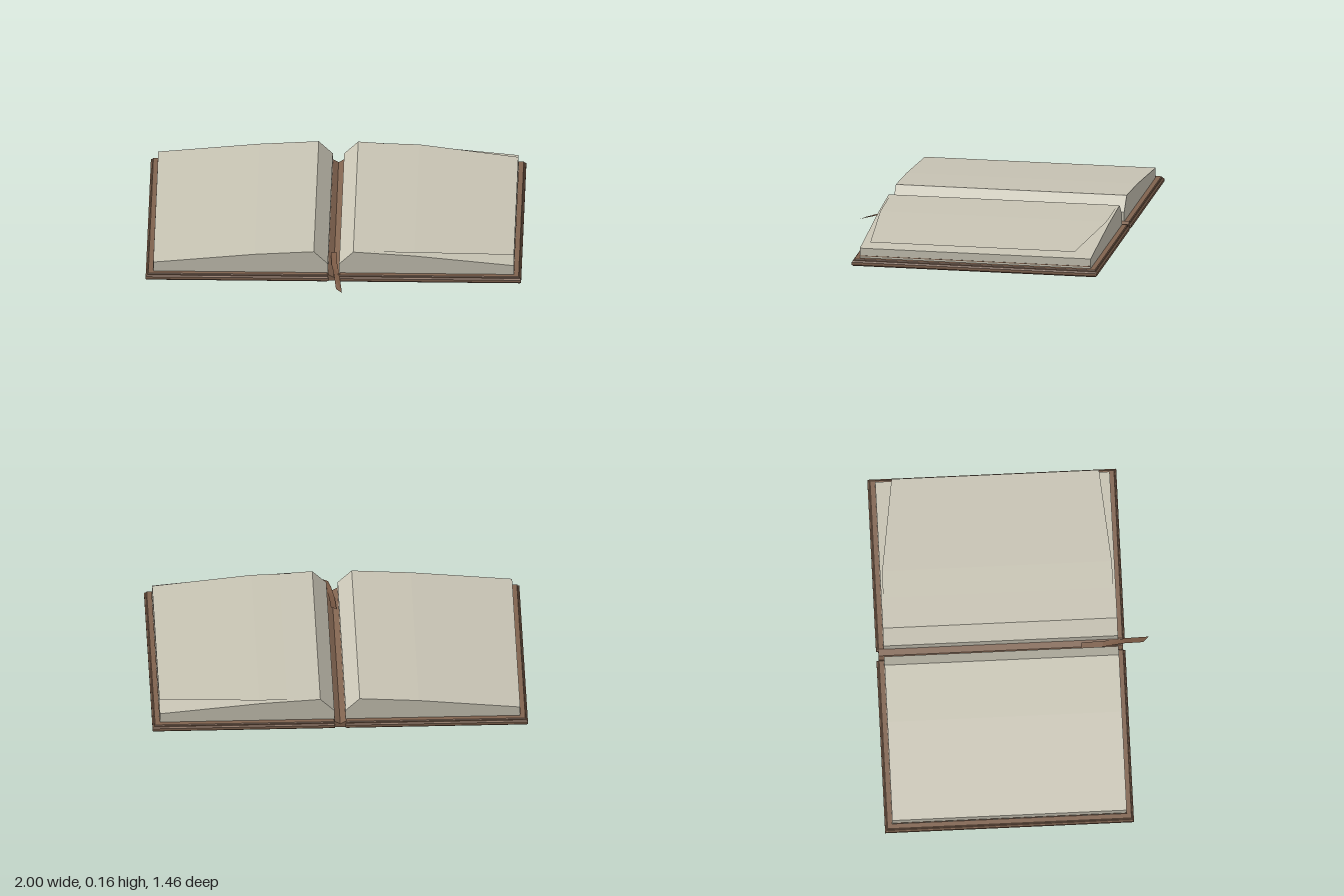
import * as THREE from 'three';

const Z0 = -0.69, Z1 = 0.56; // back and front of the pages

function material(name, color, side = THREE.FrontSide) {
  const m = new THREE.MeshStandardMaterial({ color, side, flatShading: true });
  m.name = name;
  return m;
}

// Extrude an x-y outline from z0 to z1
function prism(points, z0, z1) {
  const shape = new THREE.Shape(points.map(([x, y]) => new THREE.Vector2(x, y)));
  return new THREE.ExtrudeGeometry(shape, { depth: z1 - z0, bevelEnabled: false }).translate(0, 0, z0);
}

// Flat board with chamfered edges, given by its outer limits
function board(x0, x1, y0, y1, z0, z1, b) {
  const s = new THREE.Shape();
  s.moveTo(x0 + b, -z1 + b);
  s.lineTo(x1 - b, -z1 + b);
  s.lineTo(x1 - b, -z0 - b);
  s.lineTo(x0 + b, -z0 - b);
  s.closePath();
  return new THREE.ExtrudeGeometry(s, {
    depth: y1 - y0 - 2 * b, bevelSize: b, bevelThickness: b, bevelSegments: 1,
  }).rotateX(-Math.PI / 2).translate(0, y0 + b, 0);
}

// Thin sheet through pairs of points: [leftPoint, rightPoint] rows
function sheet(rows) {
  const pos = rows.flat(2), index = [];
  for (let i = 0; i < rows.length - 1; i++) {
    const a = 2 * i;
    index.push(a, a + 1, a + 3, a, a + 3, a + 2);
  }
  const g = new THREE.BufferGeometry();
  g.setAttribute('position', new THREE.Float32BufferAttribute(pos, 3));
  g.setIndex(index);
  g.computeVertexNormals();
  return g;
}

export function createModel() {
  const book = new THREE.Group();
  book.name = 'openBook';
  const paper = material('paper', 0xc8c4b4);
  const loosePaper = material('loosePaper', 0xc8c4b4, THREE.DoubleSide);
  const leather = material('leather', 0x80634f);
  const ribbonCloth = material('ribbonCloth', 0x7a5a45, THREE.DoubleSide);

  const add = (name, geometry, mat) => {
    const mesh = new THREE.Mesh(geometry, mat);
    mesh.name = name;
    book.add(mesh);
  };

  // Covers and page blocks, mirrored about the spine
  const profile = [[0.03, 0.035], [0.96, 0.035], [0.96, 0.09], [0.42, 0.143], [0.105, 0.162], [0.03, 0.09]];
  for (const [side, s] of [['left', 1], ['right', -1]]) {
    const span = (a, b) => (s > 0 ? [a, b] : [-b, -a]);
    add(side + 'Cover', board(...span(0.027, 1), 0, 0.028, -0.73, 0.597, 0.007), leather);
    add(side + 'CoverLining', board(...span(0.03, 0.99), 0.024, 0.037, -0.72, 0.588, 0.004), leather);
    add(side + 'PageBlock', prism(profile.map(([x, y]) => [s * x, y]), Z0, Z1), paper);

    // Narrow binding line along the fore edge
    const line = new THREE.BoxGeometry(0.004, 0.004, Z1 - Z0);
    line.translate(s * 0.96, 0.048, (Z0 + Z1) / 2);
    add(side + 'ForeEdgeLine', line, leather);
  }

  // Grooved spine between the covers
  add('spine', prism([[-0.03, 0.003], [0.03, 0.003], [0.03, 0.04], [0, 0.022], [-0.03, 0.04]], -0.718, 0.585), leather);

  // Loose top page, lifting and narrowing towards its outer edge
  add('loosePage', sheet([
    [0.105, 0.162, -0.68, 0.55],
    [0.28, 0.158, -0.68, 0.548],
    [0.43, 0.155, -0.678, 0.546],
    [0.96, 0.125, -0.603, 0.503],
  ].map(([x, y, back, front]) => [[x, y, back], [x, y, front]])), loosePaper);

  // Ribbon bookmark lying in the gutter and hanging over the front edge
  add('ribbon', sheet([
    [[-0.018, 0.05, 0.36], [0.012, 0.058, 0.365]],
    [[-0.012, 0.043, 0.48], [0.018, 0.048, 0.48]],
    [[0.003, 0.04, 0.59], [0.033, 0.036, 0.59]],
    [[0.016, 0.01, 0.695], [0.048, 0.004, 0.725]],
  ]), ribbonCloth);

  return book;
}
